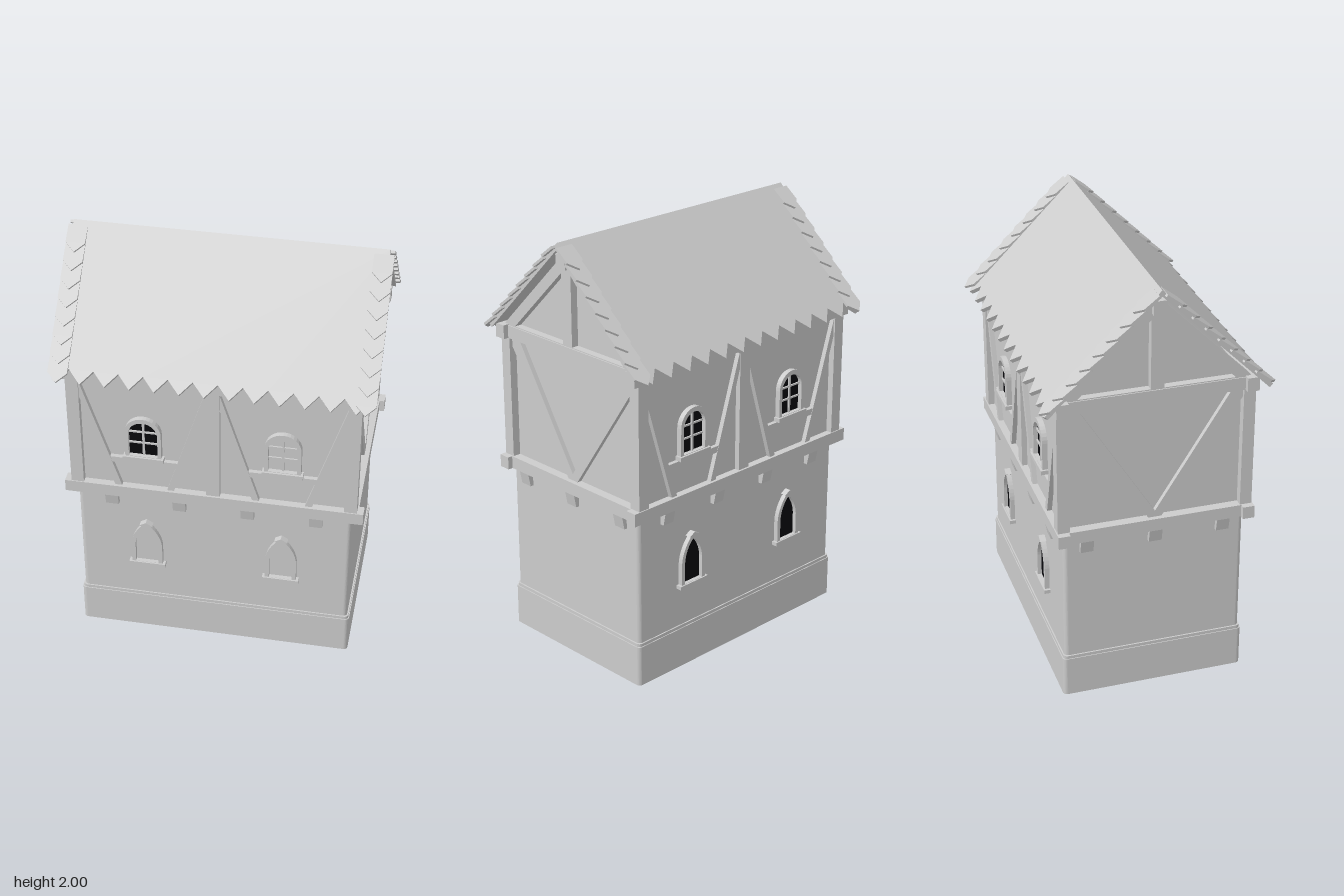
import * as THREE from 'three';

const stone = new THREE.MeshStandardMaterial({ color: 0xcccccc });
stone.name = 'pale grey';
const dark = new THREE.MeshStandardMaterial({ color: 0x08080c });
dark.name = 'window black';

const WALL_X = 0.62, WALL_Z = 0.42; // upper storey half sizes

function add(parent, name, geometry, material = stone) {
  const mesh = new THREE.Mesh(geometry, material);
  mesh.name = name;
  parent.add(mesh);
  return mesh;
}

function box(parent, name, x0, x1, y0, y1, z0, z1) {
  const g = new THREE.BoxGeometry(x1 - x0, y1 - y0, z1 - z0);
  g.translate((x0 + x1) / 2, (y0 + y1) / 2, (z0 + z1) / 2);
  return add(parent, name, g);
}

const polygon = pts => new THREE.Shape(pts.map(([x, y]) => new THREE.Vector2(x, y)));

function plate(parent, name, shape, depth, z = 0, material = stone) {
  const g = new THREE.ExtrudeGeometry(shape, { depth, bevelEnabled: false, curveSegments: 8 });
  return add(parent, name, g.translate(0, 0, z), material);
}

// Rectangle with rounded corners
function roundedRect(w, d, r) {
  const s = new THREE.Shape();
  [[w - r, d - r, 0], [r - w, d - r, 1], [r - w, r - d, 2], [w - r, r - d, 3]]
    .forEach(([x, y, q]) => s.absarc(x, y, r, q * Math.PI / 2, (q + 1) * Math.PI / 2, false));
  return s;
}

// Hollow rectangular wall ring, open above and below
function wallRing(parent, name, w, d, y0, y1, thick) {
  const s = roundedRect(w, d, 0.02);
  s.holes.push(roundedRect(w - thick, d - thick, 0.005));
  const g = new THREE.ExtrudeGeometry(s, { depth: y1 - y0, bevelEnabled: false, curveSegments: 4 });
  add(parent, name, g.rotateX(-Math.PI / 2).translate(0, y0, 0));
}

// Round-headed or pointed window outline
function arch(w, y0, spring, top, pointed) {
  const s = new THREE.Shape();
  s.moveTo(-w, y0);
  s.lineTo(w, y0);
  s.lineTo(w, spring);
  if (pointed) {
    s.quadraticCurveTo(w * 0.9, (spring + top) / 2 + 0.01, 0, top);
    s.quadraticCurveTo(-w * 0.9, (spring + top) / 2 + 0.01, -w, spring);
  } else s.absellipse(0, spring, w, top - spring, 0, Math.PI, false);
  s.closePath();
  return s;
}

function upperWindow(parent, x, material) {
  const g = new THREE.Group();
  g.name = 'upperWindow';
  g.position.set(x, 0, WALL_Z);
  const frame = arch(0.083, 1.06, 1.19, 1.273, false);
  frame.holes.push(arch(0.066, 1.062, 1.185, 1.251, false));
  plate(g, 'windowFrame', frame, 0.025);
  plate(g, 'windowPane', arch(0.068, 1.06, 1.185, 1.252, false), 0.004, 0, material);
  box(g, 'mullion', -0.005, 0.005, 1.06, 1.252, 0, 0.012);
  for (const y of [1.13, 1.19]) box(g, 'glazingBar', -0.066, 0.066, y - 0.004, y + 0.004, 0, 0.011);
  box(g, 'windowSill', -0.093, 0.093, 1.04, 1.06, 0, 0.035);
  parent.add(g);
}

function lowerWindow(parent, x, material) {
  const g = new THREE.Group();
  g.name = 'lowerWindow';
  g.position.set(x, 0, 0.419);
  const frame = arch(0.073, 0.42, 0.53, 0.663, true);
  frame.holes.push(arch(0.054, 0.422, 0.53, 0.638, true));
  plate(g, 'windowFrame', frame, 0.023);
  plate(g, 'windowPane', arch(0.056, 0.42, 0.53, 0.64, true), 0.004, 0, material);
  plate(g, 'keystone', polygon([[0, 0.632], [0.03, 0.652], [0, 0.67], [-0.03, 0.652]]), 0.03);
  box(g, 'windowSill', -0.086, 0.086, 0.403, 0.421, 0, 0.03);
  parent.add(g);
}

// Tapered bracket under the overhang, facing +z
function corbel(parent, x, z) {
  const s = polygon([[-0.01, 0.76], [0.02, 0.76], [0.032, 0.82], [-0.01, 0.82]]);
  const m = plate(parent, 'corbel', s, 0.06, -0.03);
  m.rotation.y = -Math.PI / 2;
  m.position.set(x, 0, z);
}

// Long facade: timbers, brackets and windows, facing +z
function longFacade(upperPanes, lowerPanes) {
  const g = new THREE.Group();
  box(g, 'floorBeam', -0.688, 0.688, 0.82, 0.88, 0.4, 0.455);
  box(g, 'eavesBeam', -0.685, 0.685, 1.46, 1.525, 0.4, 0.455);
  box(g, 'middlePost', -0.032, 0.032, 0.88, 1.46, WALL_Z - 0.01, 0.445);
  for (const side of [-1, 1]) {
    const c = side * 0.317;
    box(g, 'cornerPost', side * 0.629 - 0.029, side * 0.629 + 0.029, 0.88, 1.46, 0.395, 0.45);
    for (const m of [-1, 1]) {
      const pts = [[0.285, 1.455], [0.285, 1.37], [0.137, 0.88], [0.105, 0.88]];
      plate(g, 'diagonalBrace', polygon(pts.map(([x, y]) => [c + m * x, y])), 0.022, WALL_Z);
    }
    box(g, 'sillRail', c - 0.157, c + 0.157, 1.01, 1.04, WALL_Z, WALL_Z + 0.02);
  }
  [-0.317, 0.317].forEach((x, i) => {
    upperWindow(g, x, upperPanes[i]);
    lowerWindow(g, x, lowerPanes[i]);
  });
  for (const x of [-0.473, -0.158, 0.158, 0.473]) corbel(g, x, 0.42);
  return g;
}

// Gable end: built facing +z, then turned to the side
function gableEnd() {
  const g = new THREE.Group();
  box(g, 'sideFloorBeam', -0.41, 0.41, 0.82, 0.88, WALL_X - 0.01, 0.664);
  box(g, 'tieBeam', -0.41, 0.41, 1.46, 1.52, WALL_X - 0.01, 0.66);
  const pts = [[0.4, 1.46], [0.345, 1.46], [0, 0.91], [-0.345, 1.46], [-0.4, 1.46],
    [-0.4, 1.425], [-0.03, 0.88], [0.03, 0.88], [0.4, 1.425]];
  plate(g, 'crossBrace', polygon(pts), 0.022, WALL_X);
  const truss = polygon([[-0.43, 1.52], [0.43, 1.52], [0, 1.95]]);
  for (const m of [-1, 1])
    truss.holes.push(polygon([[m * 0.355, 1.525], [m * 0.03, 1.525], [m * 0.03, 1.85]]));
  plate(g, 'gableTruss', truss, 0.035, WALL_X);
  box(g, 'ridgeBeamEnd', -0.03, 0.03, 1.88, 1.945, WALL_X, 0.685);
  for (const x of [-0.317, 0, 0.317]) corbel(g, x, 0.632);
  return g;
}

// One roof slope with pointed eaves and raised tiles along both verges
function roofSlope(flip) {
  const T = 0.02, g = new THREE.Group(), outline = [[-0.7, T], [-0.7, 0.7 * -1]];
  for (let k = 0; k < 13; k++) {
    const peak = -0.684 + 0.11 * k;
    outline.push([peak, -0.708], [Math.min(peak + 0.055, 0.7), -0.645]);
  }
  outline.push([0.7, -0.66], [0.7, T]);
  plate(g, 'roofSlab', polygon(outline.map(([x, y]) => [x * flip, y])), T);
  const tile = polygon([[-0.044, 0], [0.044, 0], [0.044, -0.085], [0, -0.128], [-0.044, -0.085]]);
  for (const side of [-1, 1])
    for (let i = 0; i < 8; i++) {
      const m = plate(g, 'vergeTile', tile, 0.012);
      m.position.set(side * 0.676, -0.005 - i * 0.083, 0.01);
      m.rotation.x = -0.13;
    }
  g.rotation.x = -Math.PI / 4;
  g.position.y = 2 - T * Math.SQRT2;
  const slope = new THREE.Group();
  slope.add(g);
  return slope;
}

export function createModel() {
  const model = new THREE.Group();
  model.name = 'timberFramedHouse';
  const house = new THREE.Group();
  house.name = 'house';
  house.position.x = -0.006;
  model.add(house);

  // Masonry ground floor, hollow from below
  wallRing(house, 'plinth', 0.647, 0.43, 0, 0.195, 0.02);
  wallRing(house, 'plinthLip', 0.643, 0.426, 0.195, 0.21, 0.016);
  wallRing(house, 'groundFloorWall', 0.636, 0.42, 0.19, 0.822, 0.01);

  // Upper storey with gables
  const body = polygon([[-WALL_Z, 0.822], [WALL_Z, 0.822], [WALL_Z, 1.5], [0, 1.93], [-WALL_Z, 1.5]]);
  plate(house, 'upperStorey', body, WALL_X * 2, -WALL_X).rotation.y = Math.PI / 2;

  const place = (part, name, turn) => {
    part.name = name;
    part.rotation.y = turn;
    house.add(part);
  };
  place(longFacade([dark, stone], [stone, stone]), 'frontFacade', 0);
  place(longFacade([dark, dark], [dark, dark]), 'backFacade', Math.PI);
  place(gableEnd(), 'leftGable', Math.PI / 2);
  place(gableEnd(), 'rightGable', -Math.PI / 2);
  place(roofSlope(1), 'frontRoof', 0);
  place(roofSlope(-1), 'backRoof', Math.PI);
  return model;
}
